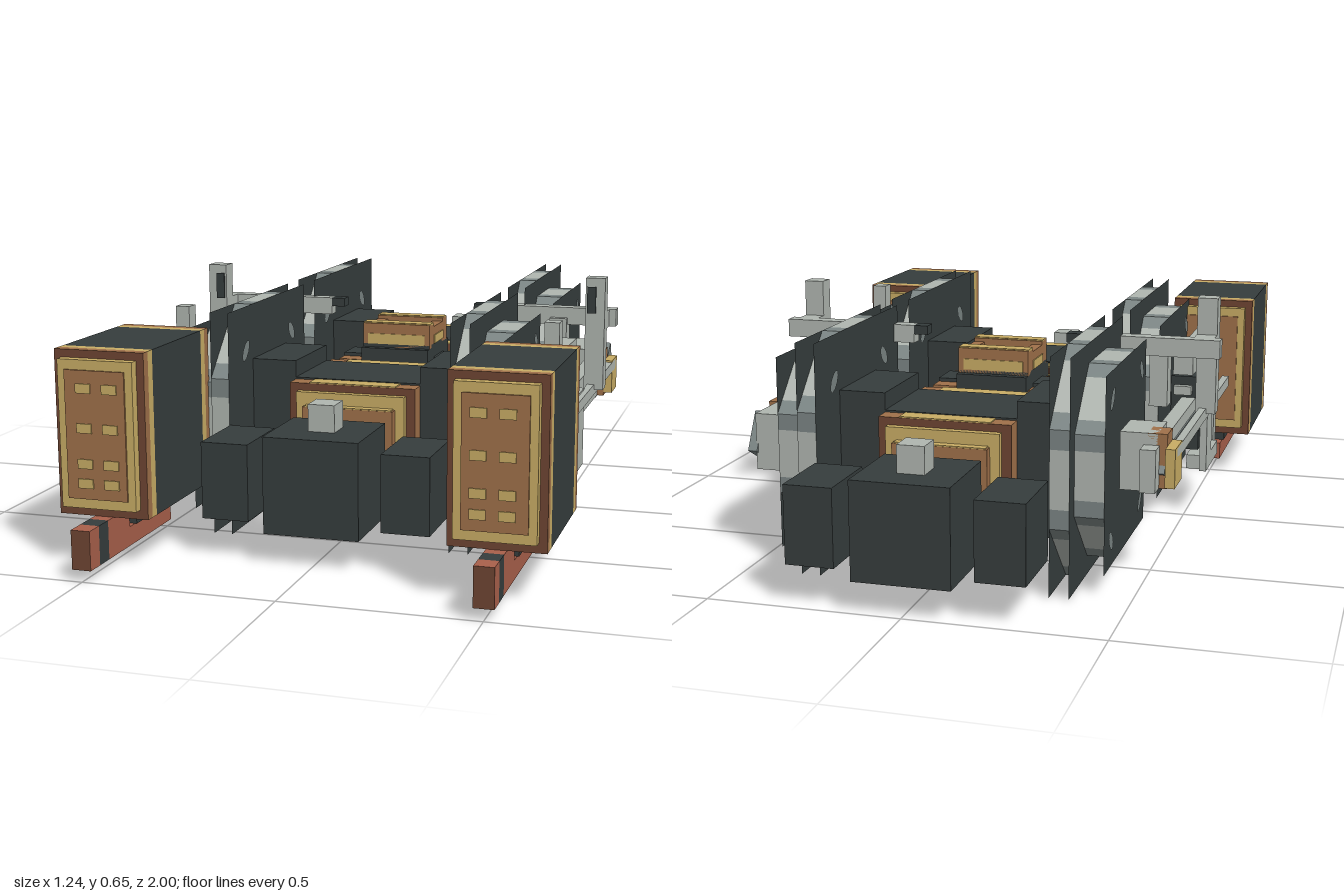
import * as THREE from 'three';

const mat = (name, color, side = THREE.FrontSide) => {
  const m = new THREE.MeshStandardMaterial({ color, side });
  m.name = name;
  return m;
};

export function createModel() {
  const dark = mat('dark iron', 0x363d3d, THREE.DoubleSide);
  const light = mat('light steel', 0xb0b6b0, THREE.DoubleSide);
  const grey = mat('mid steel', 0x7b8584, THREE.DoubleSide);
  const gold = mat('brass', 0xc9ad65);
  const copper = mat('copper', 0xa0714a);
  const brown = mat('dark copper', 0x6f4533);
  const red = mat('red copper', 0xa9604b);
  const edged = [copper, copper, copper, copper, brown, brown];

  const root = new THREE.Group();
  root.name = 'bogie';

  // Box given by its limits; s = -1 mirrors it to the other side
  const box = (parent, name, m, [x0, x1], [y0, y1], [z0, z1], s = 1, tilt = 0) => {
    const mesh = new THREE.Mesh(new THREE.BoxGeometry(x1 - x0, y1 - y0, z1 - z0), m);
    mesh.position.set(s * (x0 + x1) / 2, (y0 + y1) / 2, (z0 + z1) / 2);
    mesh.rotation.x = tilt;
    mesh.name = name;
    parent.add(mesh);
    return mesh;
  };
  const group = (name) => {
    const g = new THREE.Group();
    g.name = name;
    root.add(g);
    return g;
  };

  // Upright square sheet facing sideways
  const sheet = (g, x, size) => {
    const m = new THREE.Mesh(new THREE.PlaneGeometry(size, size), dark);
    m.rotation.y = Math.PI / 2;
    m.position.x = x;
    m.name = 'wheelFace';
    g.add(m);
  };

  // Eight-sided rim with worn patches across its corners
  const rim = (g, x0, x1, r, s) => {
    const len = 2 * r * Math.tan(Math.PI / 8);
    for (let i = 0; i < 8; i++) {
      const side = new THREE.Group();
      side.name = 'rimSegment';
      side.rotation.x = i * Math.PI / 4;
      g.add(side);
      [[-0.4, 0.2, grey], [0, 0.6, light], [0.4, 0.2, grey]].forEach(([c, w, m]) => {
        const p = new THREE.Mesh(new THREE.PlaneGeometry(x1 - x0, len * w), m);
        p.rotation.x = -Math.PI / 2;
        p.position.set(s * (x0 + x1) / 2, r, c * len);
        p.name = 'rim';
        side.add(p);
      });
    }
  };

  const wheel = (s, z) => {
    const g = group('wheel');
    g.position.set(0, 0.3, z);
    rim(g, 0.30, 0.35, 0.3, s);
    rim(g, 0.35, 0.425, 0.25, s);
    sheet(g, s * 0.30, 0.6);
    sheet(g, s * 0.35, 0.6);
    sheet(g, s * 0.425, 0.5);
    // Worn spots on both faces
    for (const x of [0.297, 0.428]) {
      for (let i = 0; i < 4; i++) {
        const a = Math.PI / 4 + i * Math.PI / 2;
        const spot = new THREE.Mesh(new THREE.CircleGeometry(0.034, 10), grey);
        spot.scale.y = 0.55;
        spot.rotation.set(-a + Math.PI / 2, Math.PI / 2, 0, 'XYZ');
        spot.position.set(s * x, Math.sin(a) * 0.255, Math.cos(a) * 0.255);
        spot.name = 'wheelSpot';
        g.add(spot);
      }
    }
  };

  const cylinderBlock = (s) => {
    const g = group('cylinderBlock');
    const X = [0.38, 0.62], Y = [0.13, 0.55], inX = [0.4, 0.6], inY = [0.155, 0.53];
    box(g, 'cylinderBody', dark, X, Y, [0.52, 0.82], s);
    box(g, 'frontBrassBand', gold, X, Y, [0.82, 0.845], s);
    box(g, 'frontCopperBand', edged, X, Y, [0.845, 0.87], s);
    box(g, 'frontCap', gold, inX, inY, [0.87, 0.895], s);
    box(g, 'frontPanel', copper, [0.42, 0.58], [0.18, 0.505], [0.893, 0.9], s);
    box(g, 'rearBrassBand', gold, X, Y, [0.495, 0.52], s);
    box(g, 'rearCopperBand', edged, X, Y, [0.47, 0.495], s);
    box(g, 'rearCap', gold, inX, inY, [0.445, 0.47], s);
    box(g, 'rearPanel', copper, [0.42, 0.58], [0.18, 0.505], [0.44, 0.447], s);
    // Brass flecks on the front panel
    for (const y of [0.22, 0.27, 0.36, 0.46]) {
      for (const x of [0.455, 0.525]) {
        box(g, 'brassFleck', gold, [x - 0.015, x + 0.025], [y - 0.012, y + 0.012], [0.899, 0.903], s);
      }
    }
    // Rail guard below
    box(g, 'guardBar', red, [0.475, 0.525], [0.03, 0.08], [0.53, 0.9], s);
    box(g, 'guardTop', red, [0.475, 0.525], [0.08, 0.13], [0.78, 0.9], s);
    box(g, 'guardBand', dark, [0.475, 0.525], [0.03, 0.13], [0.9, 0.95], s);
    box(g, 'guardTip', [red, red, red, red, brown, red], [0.475, 0.525], [0.03, 0.13], [0.95, 1], s);
    box(g, 'guardMount', dark, [0.47, 0.53], [0.08, 0.13], [0.58, 0.75], s);
  };

  const valveGear = (s) => {
    const g = group('valveGear');
    const d = s > 0 ? 0 : -0.07;
    // Slide bars and piston rod
    box(g, 'upperSlideBar', light, [0.47, 0.525], [0.42, 0.48], [-0.05, 0.45], s);
    box(g, 'middleSlideBar', light, [0.47, 0.52], [0.36, 0.385], [-0.04, 0.45], s);
    box(g, 'pistonRod', light, [0.48, 0.52], [0.28, 0.32], [0.1, 0.45], s);
    box(g, 'lowerSlideBar', light, [0.47, 0.52], [0.2, 0.23], [0.02, 0.45], s);
    box(g, 'hangerLink', light, [0.50, 0.54], [0.13, 0.58], [0.27, 0.315], s);
    // Crosshead
    box(g, 'crosshead', dark, [0.46, 0.54], [0.2, 0.41], [-0.02, 0.17], s);
    box(g, 'crossheadArm', light, [0.54, 0.56], [0.13, 0.35], [0.01, 0.1], s);
    box(g, 'crossheadFoot', light, [0.50, 0.56], [0.13, 0.17], [0.03, 0.22], s);
    box(g, 'crossheadPin', copper, [0.46, 0.53], [0.23, 0.37], [0.2, 0.26], s);
    // Main and eccentric rods
    box(g, 'mainRod', light, [0.49, 0.53], [0.24, 0.35], [-0.55 + d, 0.02], s);
    box(g, 'mainRodGroove', grey, [0.525, 0.534], [0.275, 0.315], [-0.43, -0.02], s);
    box(g, 'eccentricRod', light, [0.555, 0.575], [0.315, 0.345], [-0.5 + d, 0.32], s);
    // Crank and its pin
    box(g, 'crankWeb', light, [0.43, 0.525], [0.23, 0.38], [-0.64 - d, -0.44], s);
    box(g, 'crankHead', grey, [0.52, 0.545], [0.25, 0.36], [-0.63 - d, -0.53 - d], s, 0.5);
    box(g, 'crankCollar', copper, [0.50, 0.55], [0.24, 0.38], [-0.5 + d, -0.43 + d], s);
    box(g, 'crankPin', gold, [0.55, 0.575], [0.25, 0.35], [-0.53 + d, -0.43 + d], s);
    // Motion bracket
    box(g, 'bracketArm', light, [0.24, 0.62], [0.5, 0.55], [-0.2, -0.16], s);
    box(g, 'bracketRoot', dark, [0.2, 0.24], [0.525, 0.55], [-0.2, -0.16], s);
    box(g, 'bracketSide', light, [0.545, 0.6], [0.5, 0.55], [-0.16, -0.07], s);
    box(g, 'bracketPost', light, [0.545, 0.6], [0.33, 0.65], [-0.12, -0.07], s);
    box(g, 'bracketDrop', light, [0.43, 0.48], [0.36, 0.52], [-0.195, -0.14], s);
    box(g, 'reverserBlock', dark, [0.55, 0.575], [0.55, 0.625], [-0.07, -0.065], s);
  };

  for (const s of [1, -1]) {
    wheel(s, 0.225);
    wheel(s, -0.47);
    cylinderBlock(s);
    valveGear(s);
  }

  // Geared axle casing with stepped brass and copper ends
  const profile = new THREE.Shape([[-0.125, 0.1], [0.125, 0.1], [0.175, 0.2], [0.175, 0.4], [-0.175, 0.4], [-0.175, 0.2]]
    .map(([x, y]) => new THREE.Vector2(x, y)));
  for (const z of [0.22, -0.482]) {
    const g = group('axleCasing');
    g.position.z = z;
    box(g, 'casingBody', dark, [-0.175, 0.175], [0.1, 0.405], [-0.13, 0.13]);
    const flange = new THREE.Mesh(new THREE.ExtrudeGeometry(profile, { depth: 0.36, bevelEnabled: false }), [brown, copper]);
    flange.position.z = -0.18;
    flange.name = 'casingFlange';
    g.add(flange);
    for (const e of [1, -1]) {
      const zr = (a, b) => (e > 0 ? [a, b] : [-b, -a]);
      box(g, 'casingTopStrip', gold, [-0.12, 0.12], [0.395, 0.403], zr(0.13, 0.178));
      box(g, 'casingStep', gold, [-0.15, 0.15], [0.15, 0.38], zr(0.18, 0.2));
      box(g, 'casingPanel', copper, [-0.125, 0.125], [0.17, 0.345], zr(0.2, 0.225));
      box(g, 'casingPanelStrip', gold, [-0.12, 0.12], [0.34, 0.348], zr(0.2, 0.224));
      box(g, 'axleBox', dark, [0.175, 0.299], [0.1, 0.45], [-0.13, 0.13], e);
    }
  }

  // Centre beam and pivot tray
  const pivot = group('pivot');
  box(pivot, 'centreBeam', dark, [-0.12, 0.12], [0.08, 0.2], [-0.755, 0.51]);
  box(pivot, 'pivotBase', dark, [-0.1, 0.1], [0.2, 0.43], [-0.25, -0.01]);
  box(pivot, 'pivotMiddle', dark, [-0.175, 0.175], [0.1, 0.4], [-0.18, -0.08]);
  box(pivot, 'pivotSill', copper, [-0.175, 0.175], [0.3, 0.39], [-0.23, -0.03]);
  box(pivot, 'pivotFloor', dark, [-0.1, 0.1], [0.42, 0.44], [-0.23, -0.03]);
  for (const z of [-0.205, -0.055]) {
    box(pivot, 'trayEnd', copper, [-0.1, 0.1], [0.43, 0.5], [z - 0.025, z + 0.025]);
    box(pivot, 'trayEndTop', gold, [-0.1, 0.1], [0.497, 0.503], [z - 0.02, z + 0.02]);
    box(pivot, 'trayEndBand', gold, [-0.085, 0.085], [0.44, 0.47], [z - 0.028, z + 0.028]);
  }
  for (const s of [1, -1]) {
    box(pivot, 'traySide', copper, [0.07, 0.1], [0.43, 0.49], [-0.18, -0.08], s);
    box(pivot, 'traySideBand', gold, [0.067, 0.103], [0.44, 0.465], [-0.18, -0.08], s);
  }

  // End blocks, front and rear
  for (const [name, c, z0, z1] of [['front', 0.62, 0.51, 0.745], ['rear', -0.88, -1, -0.755]]) {
    const g = group(name + 'EndBlock');
    box(g, 'endBlock', dark, [-0.125, 0.125], [0.08, 0.33], [z0, z1]);
    box(g, 'endCap', light, [-0.035, 0.035], [0.33, 0.4], [c - 0.035, c + 0.035]);
    for (const s of [1, -1]) box(g, 'sideBlock', dark, [0.175, 0.3], [0.1, 0.3], [c - 0.1, c + 0.1], s);
  }
  return root;
}
